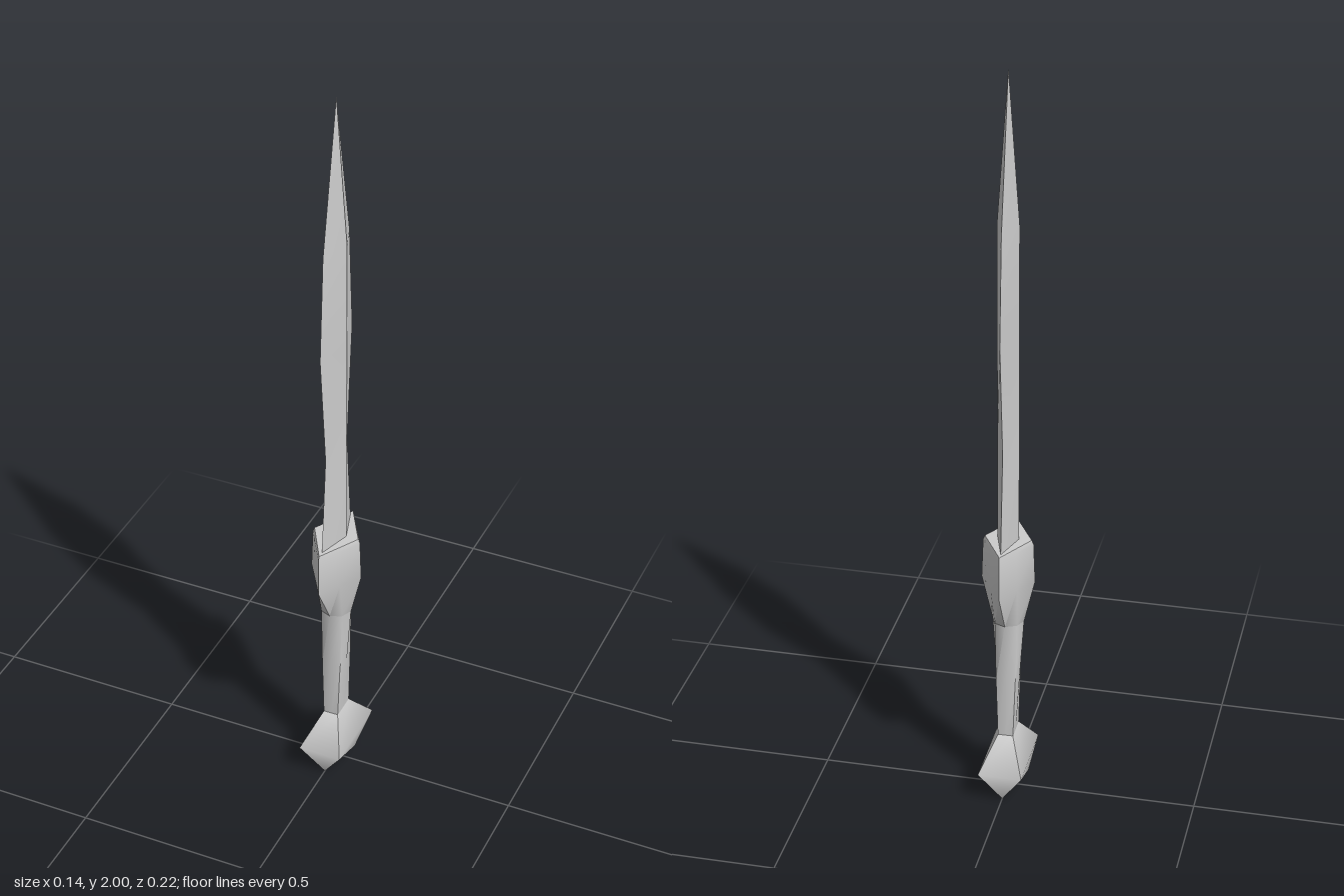
import * as THREE from 'three';
import { toCreasedNormals } from 'three/addons/utils/BufferGeometryUtils.js';

function build(name, points, index, crease) {
  const geo = new THREE.BufferGeometry();
  geo.setAttribute('position', new THREE.Float32BufferAttribute(points.flat(), 3));
  geo.setIndex(index);
  const material = new THREE.MeshStandardMaterial({ color: 0xcccccc });
  const mesh = new THREE.Mesh(toCreasedNormals(geo, crease), material);
  mesh.name = name;
  return mesh;
}

// Closed loft through rings [y, halfX, halfZ, k], listed bottom to top.
// k places the diagonal corners: 0.5 gives a diamond, 0.7 an octagon, 1 a rectangle.
function loft(name, rings, crease, sides = 8) {
  const points = [];
  const index = [];
  for (const [y, x, z, k = 0.5] of rings) {
    for (let j = 0; j < sides; j++) {
      const a = (j / sides) * Math.PI * 2;
      const diagonal = sides === 8 && j % 2 === 1;
      const f = diagonal ? k * Math.SQRT2 : 1;
      points.push([Math.cos(a) * x * f, y, Math.sin(a) * z * f]);
    }
  }
  const last = (rings.length - 1) * sides;
  const base = points.push([0, rings[0][0], 0]) - 1;
  const top = points.push([0, rings[rings.length - 1][0], 0]) - 1;
  for (let j = 0; j < sides; j++) {
    const n = (j + 1) % sides;
    for (let r = 0; r < last; r += sides) {
      index.push(r + j, r + sides + j, r + n, r + n, r + sides + j, r + sides + n);
    }
    index.push(base, j, n, top, last + n, last + j);
  }
  return build(name, points, index, crease);
}

// Flared pommel with a rectangular waist and a notch between two lower points
function makePommel() {
  const corners = [[1, 1], [-1, 1], [-1, -1], [1, -1]];
  const points = [
    ...corners.map(([x, z]) => [x * 0.02, 0.175, z * 0.036]),
    ...corners.map(([x, z]) => [x * 0.058, 0.09, z * 0.11]),
    [0.055, 0.05, 0], [-0.055, 0.05, 0],
    [0, 0, 0.075], [0, 0, -0.075],
  ];
  const index = [
    0, 3, 2, 0, 2, 1,
    4, 8, 7, 5, 6, 9, 5, 10, 4, 7, 11, 6,
    4, 10, 8, 5, 9, 10, 7, 8, 11, 6, 11, 9,
    10, 9, 8, 11, 8, 9,
  ];
  for (let j = 0; j < 4; j++) {
    const n = (j + 1) % 4;
    index.push(4 + j, j, 4 + n, 4 + n, j, n);
  }
  // the flat top of the waist must face up
  index.splice(0, 6, 0, 3, 2, 0, 2, 1);
  return build('pommel', points, index, 1.15);
}

export function createModel() {
  const group = new THREE.Group();
  group.name = 'sword';

  // Leaf-shaped blade with a diamond section
  group.add(loft('blade', [
    [0.74, 0.028, 0.09],
    [1.02, 0.028, 0.065],
    [1.33, 0.028, 0.095],
    [1.61, 0.028, 0.077],
    [2.0, 0.0005, 0.0005],
  ], 0.4, 4));

  // Diamond guard narrowing down into the grip
  group.add(loft('guard', [
    [0.51, 0.042, 0.042, 0.7],
    [0.63, 0.07, 0.11],
    [0.738, 0.066, 0.11],
    [0.75, 0.061, 0.106],
  ], 1.2));

  // Tapered grip
  group.add(loft('grip', [
    [0.17, 0.02, 0.036, 1],
    [0.34, 0.03, 0.039, 0.85],
    [0.515, 0.042, 0.042, 0.7],
  ], 1.2));

  group.add(makePommel());
  return group;
}
